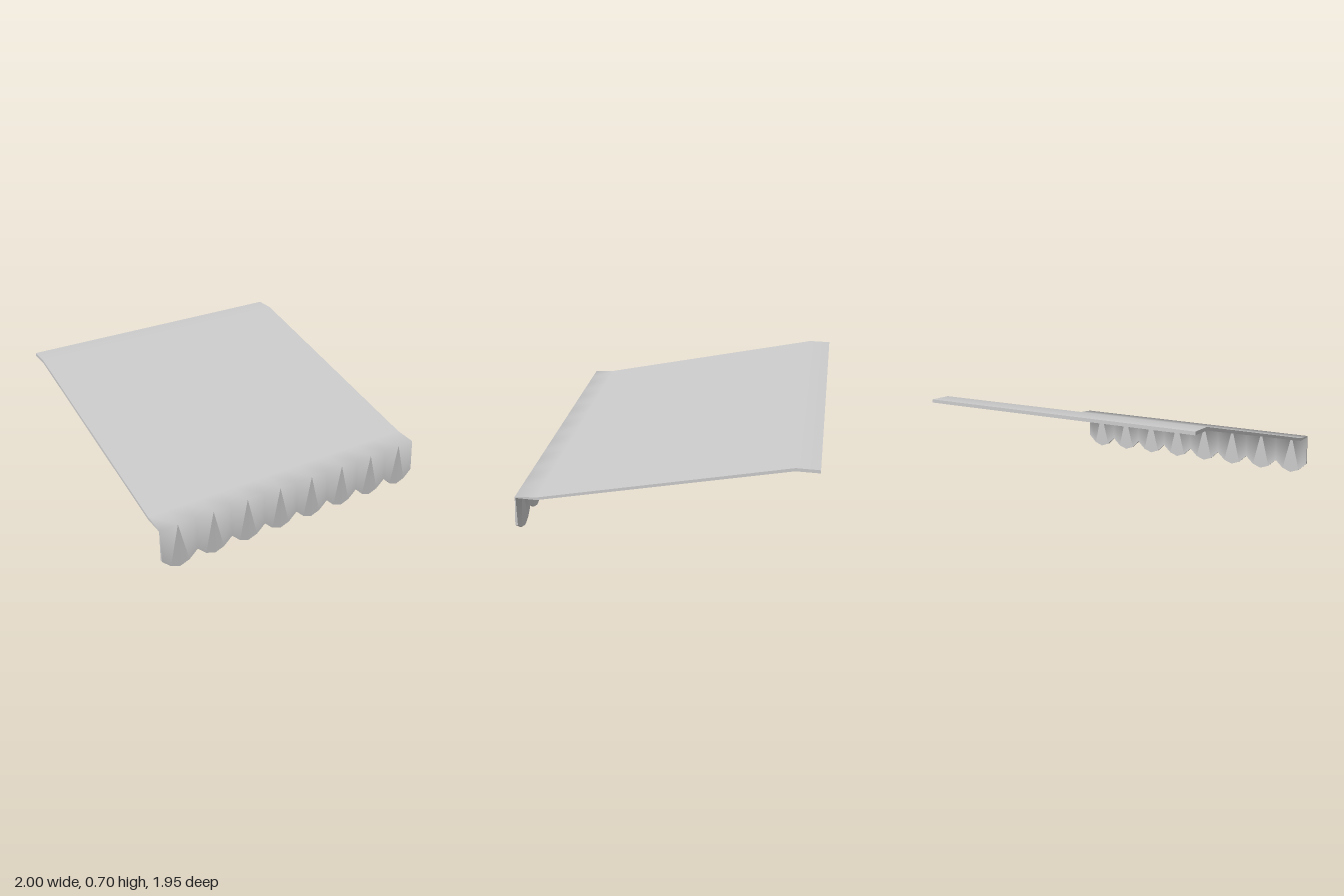
import * as THREE from 'three';

const SCALLOPS = 8, WIDTH = 2 / SCALLOPS, COLS = SCALLOPS * 2;
// Side profiles [z, y] from the back edge to the front fold
const OUTER = [[-0.974, 0.705], [-0.825, 0.705], [0.81, 0.317], [0.957, 0.306]];
const INNER = [[-0.974, 0.683], [-0.825, 0.683], [0.81, 0.297], [0.952, 0.297]];
const OUTER_Z = 0.975, INNER_Z = 0.957; // hanging edge of the valance
// One scallop: [x offset from its centre, y]
const SCALLOP = [[-0.125, 0.085], [-0.065, 0.028], [0, 0.004], [0.065, 0.028], [0.125, 0.085]];

function geometry(points, index) {
  const g = new THREE.BufferGeometry();
  g.setAttribute('position', new THREE.Float32BufferAttribute(points.flat(), 3));
  if (index) g.setIndex(index);
  g.computeVertexNormals();
  return g;
}

// Points along the whole scalloped edge at depth z
function hem(z) {
  const pts = [];
  for (let s = 0; s < SCALLOPS; s++) {
    const cx = -1 + WIDTH * (s + 0.5);
    SCALLOP.forEach(([x, y], k) => { if (k || !s) pts.push([cx + x, y, z]); });
  }
  return pts;
}

// One smooth skin: sloping cloth folding over into the valance
function skin(profile, hemZ, flip) {
  const points = [], index = [];
  const tri = (a, b, c) => index.push(...(flip ? [a, c, b] : [a, b, c]));
  for (const [z, y] of profile)
    for (let i = 0; i <= COLS; i++) points.push([-1 + 2 * i / COLS, y, z]);
  const row = COLS + 1;
  for (let r = 0; r < profile.length - 1; r++)
    for (let i = 0; i < COLS; i++) {
      const a = r * row + i, b = a + row;
      tri(a, b, b + 1);
      tri(a, b + 1, a + 1);
    }
  const fold = (profile.length - 1) * row, low = points.length;
  points.push(...hem(hemZ));
  for (let s = 0; s < SCALLOPS; s++) {
    const t = fold + s * 2, b = low + s * 4;
    const apex = points.push([...points[t + 1]]) - 1; // own corner keeps the tongue flat
    tri(t, b, b + 1);
    tri(t, b + 1, t + 1);
    tri(apex, b + 1, b + 2);
    tri(apex, b + 2, b + 3);
    tri(t + 1, b + 3, t + 2);
    tri(t + 2, b + 3, b + 4);
  }
  return geometry(points, index);
}

// Flat strips that close the thickness around the cloth
function rim() {
  const points = [];
  const quad = (a, b, c, d) => points.push(a, b, c, a, c, d);
  const out = [...OUTER, [OUTER_Z, SCALLOP[0][1]]];
  const inn = [...INNER, [INNER_Z, SCALLOP[0][1]]];
  const at = (x, [z, y]) => [x, y, z];
  for (const x of [-1, 1])
    for (let i = 0; i < out.length - 1; i++) {
      const c = [out[i], out[i + 1], inn[i + 1], inn[i]].map(p => at(x, p));
      quad(...(x > 0 ? c : c.reverse()));
    }
  quad(at(1, out[0]), at(1, inn[0]), at(-1, inn[0]), at(-1, out[0]));
  const front = hem(OUTER_Z), back = hem(INNER_Z);
  for (let i = 0; i < front.length - 1; i++) quad(back[i], back[i + 1], front[i + 1], front[i]);
  return geometry(points);
}

export function createModel() {
  const awning = new THREE.Group();
  awning.name = 'awning';
  const material = new THREE.MeshStandardMaterial({ color: 0xcccccc });
  const add = (name, geo) => {
    const mesh = new THREE.Mesh(geo, material);
    mesh.name = name;
    awning.add(mesh);
  };
  add('canopyTop', skin(OUTER, OUTER_Z, false));
  add('canopyUnderside', skin(INNER, INNER_Z, true));
  add('canopyRim', rim());
  return awning;
}
